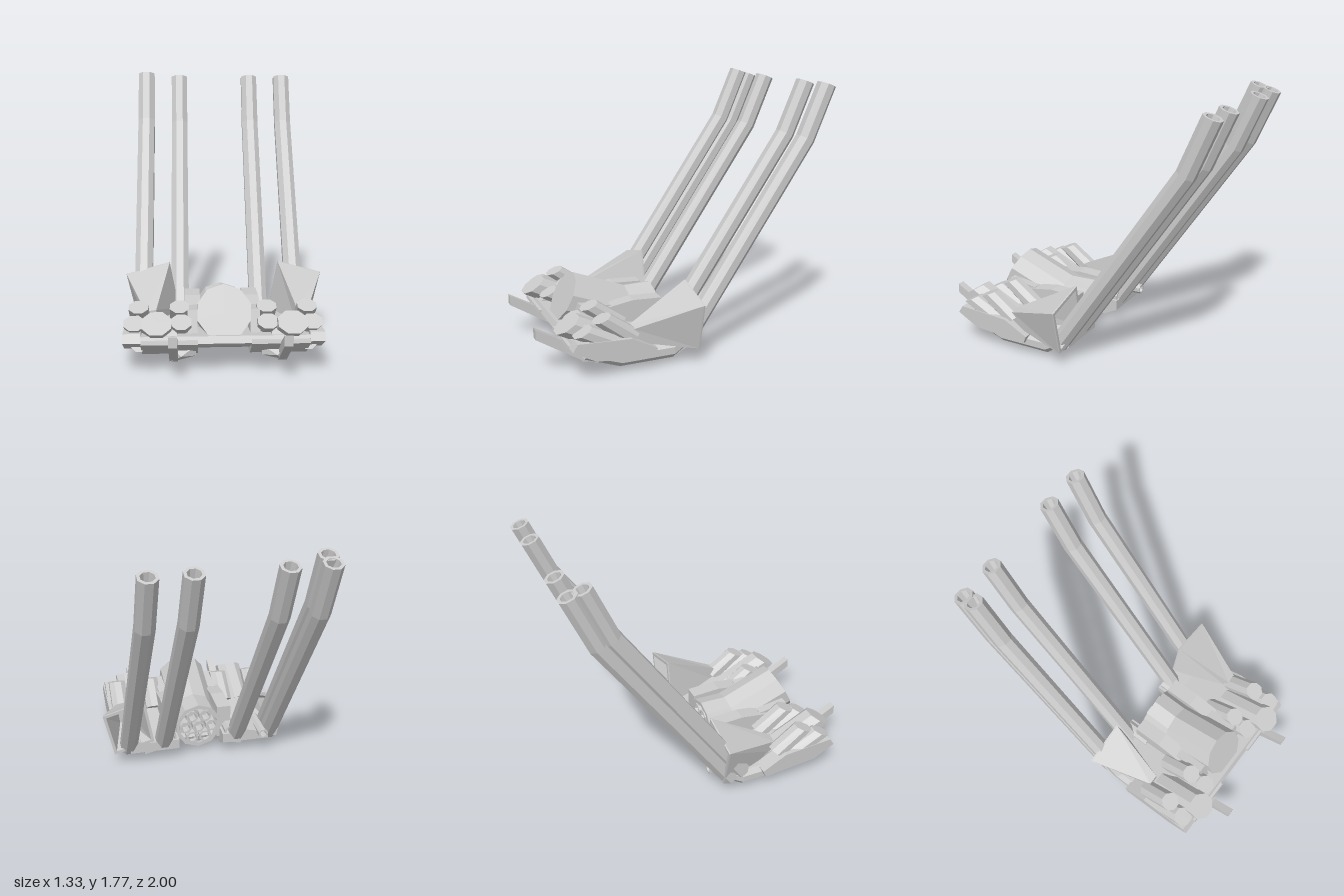
import * as THREE from 'three';

const material = new THREE.MeshStandardMaterial({ color: 0xcccccc, flatShading: true, side: THREE.DoubleSide });

// Skin a list of rings (arrays of Vector3, counter-clockwise around the travel direction)
function loft(rings) {
  const pos = [];
  const put = (...pts) => pts.forEach(p => pos.push(p.x, p.y, p.z));
  for (let k = 0; k < rings.length - 1; k++) {
    const a = rings[k], b = rings[k + 1], n = a.length;
    for (let i = 0; i < n; i++) {
      const j = (i + 1) % n;
      put(a[i], a[j], b[j], a[i], b[j], b[i]);
    }
  }
  const g = new THREE.BufferGeometry();
  g.setAttribute('position', new THREE.Float32BufferAttribute(pos, 3));
  g.computeVertexNormals();
  return g;
}

// Pipe in a plane of constant x; each ring is [z, y, radius, heading in degrees from +z towards +y]
function pipe(x, rings, sides = 8) {
  return loft(rings.map(([z, y, r, deg]) => {
    const t = THREE.MathUtils.degToRad(deg);
    return Array.from({ length: sides }, (_, i) => {
      const a = (i + 0.5) / sides * Math.PI * 2, u = r * Math.sin(a);
      return new THREE.Vector3(x + r * Math.cos(a), y + u * Math.cos(t), z - u * Math.sin(t));
    });
  }));
}

// Side profile of [z, y] points extruded from x0 to x1
function prism(x0, x1, profile) {
  const shape = new THREE.Shape(profile.map(p => new THREE.Vector2(...p)));
  return new THREE.ExtrudeGeometry(shape, { depth: x1 - x0, bevelEnabled: false })
    .rotateY(-Math.PI / 2).translate(x1, 0, 0);
}

// Backward-facing hollow nozzle
const nozzle = (x, y, r, zFront, zBack) => pipe(x, [
  [zFront, y, 0, 180], [zFront, y, r, 180], [zBack, y, r, 180],
  [zBack, y, r * 0.7, 180], [zBack + 0.06, y, r * 0.6, 180], [zBack + 0.06, y, 0, 180],
]);

export function createModel() {
  const model = new THREE.Group();
  const add = (name, geometry) => {
    const m = new THREE.Mesh(geometry, material);
    m.name = name;
    model.add(m);
    return m;
  };

  // Tall bent exhaust pipes with hollow tips
  const exhaust = (x, dz, dy) => add('exhaustPipe', pipe(x, [
    [0.07, 0.12, 0, 124], [0.07, 0.12, 0.064, 124], [-0.795, 1.39, 0.064, 118],
    [-0.943, 1.735, 0.063, 110], [-0.943, 1.735, 0.043, 110],
    [-0.89, 1.6, 0.02, 112], [-0.89, 1.6, 0, 112],
  ].map(([z, y, r, t]) => [z + dz, y + dy, r, t])));
  for (const x of [-0.547, -0.3, 0.235, 0.485]) exhaust(x, 0, 0);
  exhaust(-0.547, 0.083, 0.025);

  // Central bent barrel, closed at the front
  const cx = -0.03;
  add('centralBarrel', pipe(cx, [
    [0.15, 0.21, 0, 0], [0.15, 0.21, 0.155, 0], [0.09, 0.21, 0.14, 0], [0.09, 0.21, 0.168, 0],
    [0.31, 0.21, 0.168, 12], [0.71, 0.362, 0.17, 27], [0.71, 0.362, 0, 27],
  ], 10));
  // Cluster of small nozzles in its rear end
  add('clusterNozzle', nozzle(cx, 0.21, 0.046, 0.15, 0.08));
  for (let i = 0; i < 6; i++) {
    const a = i * Math.PI / 3;
    add('clusterNozzle', nozzle(cx + 0.096 * Math.cos(a), 0.21 + 0.096 * Math.sin(a), 0.046, 0.15, 0.08));
  }

  // Shoulders beside the barrel
  const shoulder = [[0.1, 0.1], [0.5, 0.1], [0.5, 0.32], [0.3, 0.35], [0.1, 0.34]];
  add('shoulder', prism(-0.27, -0.17, shoulder));
  add('shoulder', prism(0.11, 0.21, shoulder));
  const brace = [[0.45, 0.12], [0.72, 0.17], [0.66, 0.36], [0.45, 0.33]];
  add('brace', prism(-0.25, -0.19, brace));
  add('brace', prism(0.13, 0.19, brace));

  // Floor plate, side panels and raised belly panels
  add('floorPlate', prism(-0.53, 0.49, [
    [0.82, 0.2], [0.8, 0.18], [0.6, 0.1], [0.12, 0.07], [0.1, 0.12], [0.5, 0.2], [0.8, 0.24],
  ]));
  const panel = [[0.83, 0.21], [0.68, 0.13], [0.3, 0.1], [0.28, 0.15], [0.45, 0.24], [0.8, 0.26]];
  add('sidePanel', prism(-0.637, -0.53, panel));
  add('sidePanel', prism(0.48, 0.57, panel));
  for (const [a, b] of [[-0.53, -0.19], [0.13, 0.48]]) {
    add('bellyPanel', prism(a, b, [
      [0.835, 0.2], [0.66, 0.085], [0.4, 0.06], [0.1, 0.05], [0, 0.1], [0, 0.17], [0.15, 0.18], [0.5, 0.23], [0.83, 0.22],
    ]));
  }

  // Rods rising to the front: [x, front z, front y, radius, cap heading, back z, back y]
  for (const [x, z, y, r, cap, bz, by] of [
    [-0.55, 0.62, 0.37, 0.064, 68, 0.42, 0.22], [-0.3, 0.62, 0.37, 0.064, 68, 0.42, 0.22],
    [0.235, 0.62, 0.37, 0.064, 68, 0.42, 0.22], [0.485, 0.62, 0.37, 0.064, 68, 0.42, 0.22],
    [-0.57, 0.75, 0.31, 0.068, 62, 0.48, 0.17], [-0.29, 0.74, 0.31, 0.068, 62, 0.48, 0.17],
    [0.235, 0.74, 0.31, 0.068, 62, 0.48, 0.17], [0.5, 0.75, 0.31, 0.068, 62, 0.48, 0.17],
    [-0.435, 0.81, 0.325, 0.095, 57, 0.5, 0.17], [0.375, 0.81, 0.325, 0.095, 57, 0.5, 0.17],
    [-0.36, 0.78, 0.24, 0.05, 55, 0.5, 0.13], [0.3, 0.78, 0.24, 0.05, 55, 0.5, 0.13],
  ]) {
    add('rod', pipe(x, [[bz, by, 0, 50], [bz, by, r, 50], [z, y, r, cap], [z, y, 0, cap]]));
  }

  // Lower pods along the outer underside
  for (const x of [-0.545, 0.485]) {
    add('lowerPod', pipe(x, [
      [0.05, 0.15, 0, 0], [0.05, 0.15, 0.045, 0], [0.15, 0.1, 0.06, 0],
      [0.5, 0.1, 0.06, 10], [0.72, 0.17, 0.05, 25], [0.72, 0.17, 0, 25],
    ]));
  }

  // Small rear nozzles
  add('rearNozzle', nozzle(-0.475, 0.17, 0.036, 0.2, -0.06));
  add('rearNozzle', nozzle(-0.25, 0.18, 0.045, 0.2, 0.01));
  add('rearNozzle', nozzle(0.19, 0.18, 0.045, 0.2, 0.01));
  add('rearNozzle', nozzle(0.42, 0.15, 0.036, 0.2, 0));

  for (const side of [-1, 1]) {
    // Flared square horn, open at the back
    const big = [[0.37, 0.5], [0.665, 0.42], [0.592, 0.11], [0.31, 0.18]];
    const small = [[0.45, 0.29], [0.52, 0.28], [0.51, 0.19], [0.445, 0.19]];
    const ring = (pts, z, s = 1) => {
      const v = pts.map(([x, y]) => new THREE.Vector3(
        side * (0.485 + (x - 0.485) * s), 0.3 + (y - 0.3) * s, z));
      return side < 0 ? v.reverse() : v;
    };
    const point = Array(4).fill([0.485, 0.24]);
    add('horn', loft([ring(point, 0.42), ring(small, 0.42), ring(big, 0.01), ring(big, 0),
      ring(big, 0, 0.87), ring(small, 0.3), ring(point, 0.3)]));

    // Forward fin and the keel behind it
    const x = side < 0 ? -0.337 : 0.328;
    add('fin', prism(x - 0.026, x + 0.026, [
      [1, 0.305], [1, 0.24], [0.69, 0.045], [0.4, 0.02], [0.4, 0.1], [0.7, 0.16], [0.85, 0.22],
    ]));
    const section = (z, y, k) => {
      const v = [[0.36, y], [0.2, y + 0.04 * k], [0.2, 0.15], [0.37, 0.15]]
        .map(([px, py]) => new THREE.Vector3(side * px, py, z));
      return side > 0 ? v.reverse() : v;
    };
    const tip = z => Array(4).fill(new THREE.Vector3(side * 0.29, 0.1, z));
    add('keel', loft([tip(0.12), section(0.12, 0.007, 1), section(0.4, 0.02, 1), section(0.7, 0.045, 1), tip(0.76)]));
  }
  return model;
}
